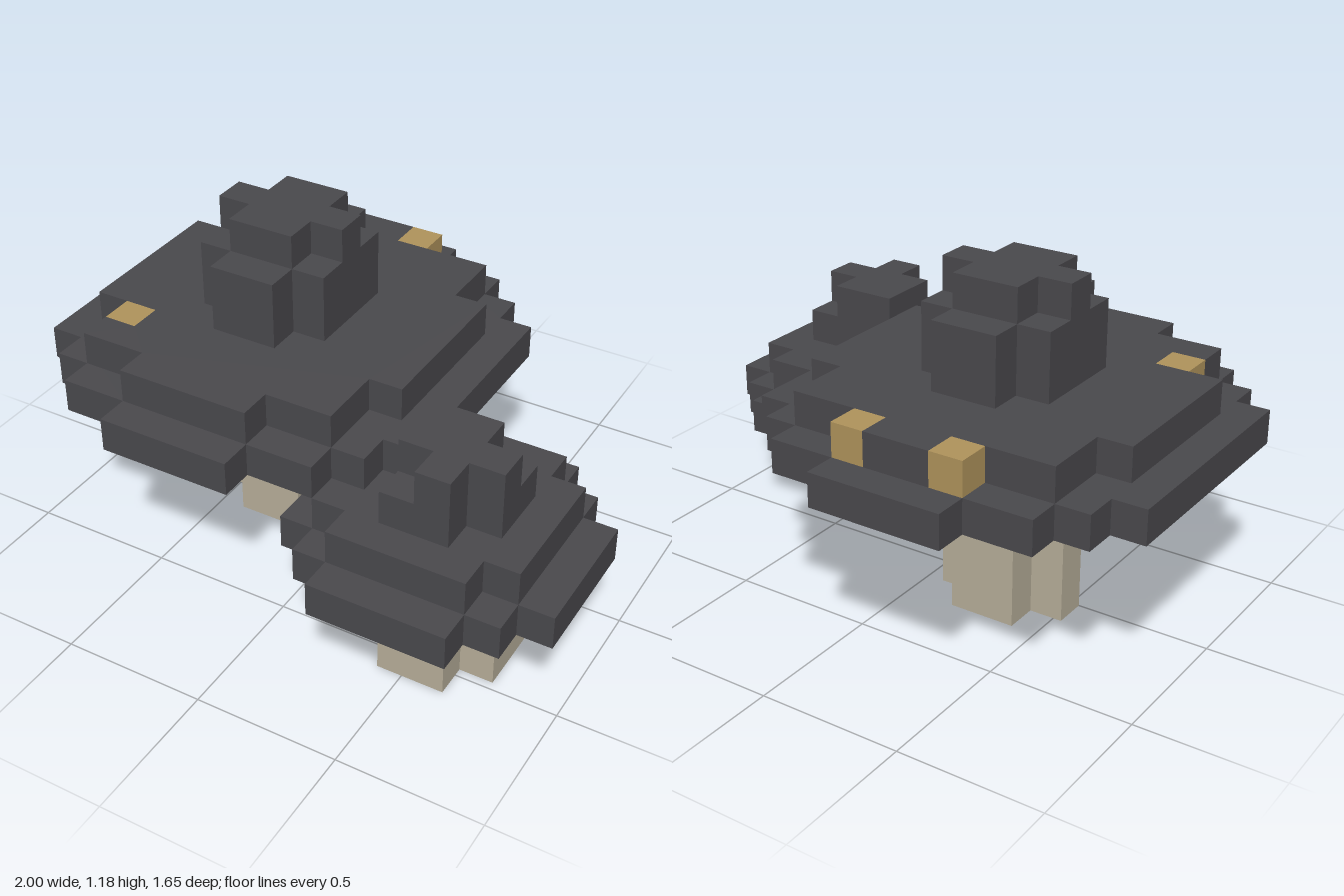
import * as THREE from 'three';

const U = 2 / 17; // block size
const X0 = -8.5, Z0 = -7; // block grid origin, in blocks

// Outline of a layer: each run is [number of rows, first x, end x], from back to front
function outline(startRow, runs) {
  const right = [], left = [];
  let k = startRow;
  for (const [n, a, b] of runs) {
    right.push([b, k], [b, k + n]);
    left.push([a, k], [a, k + n]);
    k += n;
  }
  const pts = [...right, ...left.reverse()];
  const unique = pts.filter((p, i) => {
    const q = pts[(i + pts.length - 1) % pts.length];
    return p[0] !== q[0] || p[1] !== q[1];
  });
  return new THREE.Shape(unique.map(([x, z]) => new THREE.Vector2((x + X0) * U, -(z + Z0) * U)));
}

// Upright prism from block level y0 to y1
function prism(y0, y1, startRow, runs) {
  const g = new THREE.ExtrudeGeometry(outline(startRow, runs), { depth: (y1 - y0) * U, bevelEnabled: false });
  g.rotateX(-Math.PI / 2);
  g.translate(0, y0 * U, 0);
  return g;
}

// Keep only the walls of a prism, leaving its ends open
function wallsOnly(g) {
  const { start, count } = g.groups[1];
  const out = new THREE.BufferGeometry();
  for (const name of ['position', 'normal']) {
    const part = g.attributes[name].array.slice(start * 3, (start + count) * 3);
    out.setAttribute(name, new THREE.BufferAttribute(part, 3));
  }
  return out;
}

export function createModel() {
  const capDark = new THREE.MeshStandardMaterial({ color: 0x4a494d });
  const stemBeige = new THREE.MeshStandardMaterial({ color: 0xb8af9a, side: THREE.DoubleSide });
  const spotGold = new THREE.MeshStandardMaterial({ color: 0xb0945c });

  const model = new THREE.Group();
  model.name = 'mushrooms';
  const large = new THREE.Group();
  large.name = 'largeMushroom';
  const small = new THREE.Group();
  small.name = 'smallMushroom';
  model.add(large, small);

  const add = (group, name, geometry, material) => {
    const mesh = new THREE.Mesh(geometry, material);
    mesh.name = name;
    group.add(mesh);
  };

  // Large mushroom
  const largeCross = [[1, 5, 7], [1, 4, 8], [1, 5, 7]];
  add(large, 'largeStem', wallsOnly(prism(0, 5, 5, largeCross)), stemBeige);
  add(large, 'largeCapBrim', prism(5, 6, 0,
    [[1, 4, 8], [1, 2, 10], [1, 1, 11], [7, 0, 12], [1, 1, 11], [1, 2, 10], [1, 4, 8]]), capDark);
  // The rows are shortened where the spots sit
  add(large, 'largeCapTop', prism(6, 7, 1,
    [[1, 5, 7], [2, 2, 10], [5, 1, 11], [1, 3, 10], [1, 2, 10], [1, 4, 8]]), capDark);
  add(large, 'largeKnob', prism(7, 9, 4, [[1, 5, 7], [3, 4, 8], [1, 5, 7]]), capDark);
  add(large, 'largeKnobTip', prism(9, 10, 5, largeCross), capDark);
  for (const [x, z] of [[4, 1], [7, 1], [2, 9]]) {
    add(large, 'spot', prism(6, 7, z, [[1, x, x + 1]]), spotGold);
  }

  // Small mushroom
  const smallCore = [[2, 12, 15], [1, 12, 14]];
  add(small, 'smallStem', wallsOnly(prism(0, 3, 9, smallCore)), stemBeige);
  add(small, 'smallCapBrim', prism(3, 4, 6,
    [[1, 11, 15], [1, 10, 16], [4, 9, 17], [1, 10, 16], [1, 11, 15]]), capDark);
  add(small, 'smallCapTop', prism(4, 5, 7, [[1, 11, 15], [4, 10, 16], [1, 11, 15]]), capDark);
  add(small, 'smallKnob', prism(5, 6, 9, smallCore), capDark);
  add(small, 'smallKnobTip', prism(6, 7, 9, [[1, 12, 14], [1, 12, 15], [1, 13, 14]]), capDark);

  return model;
}
